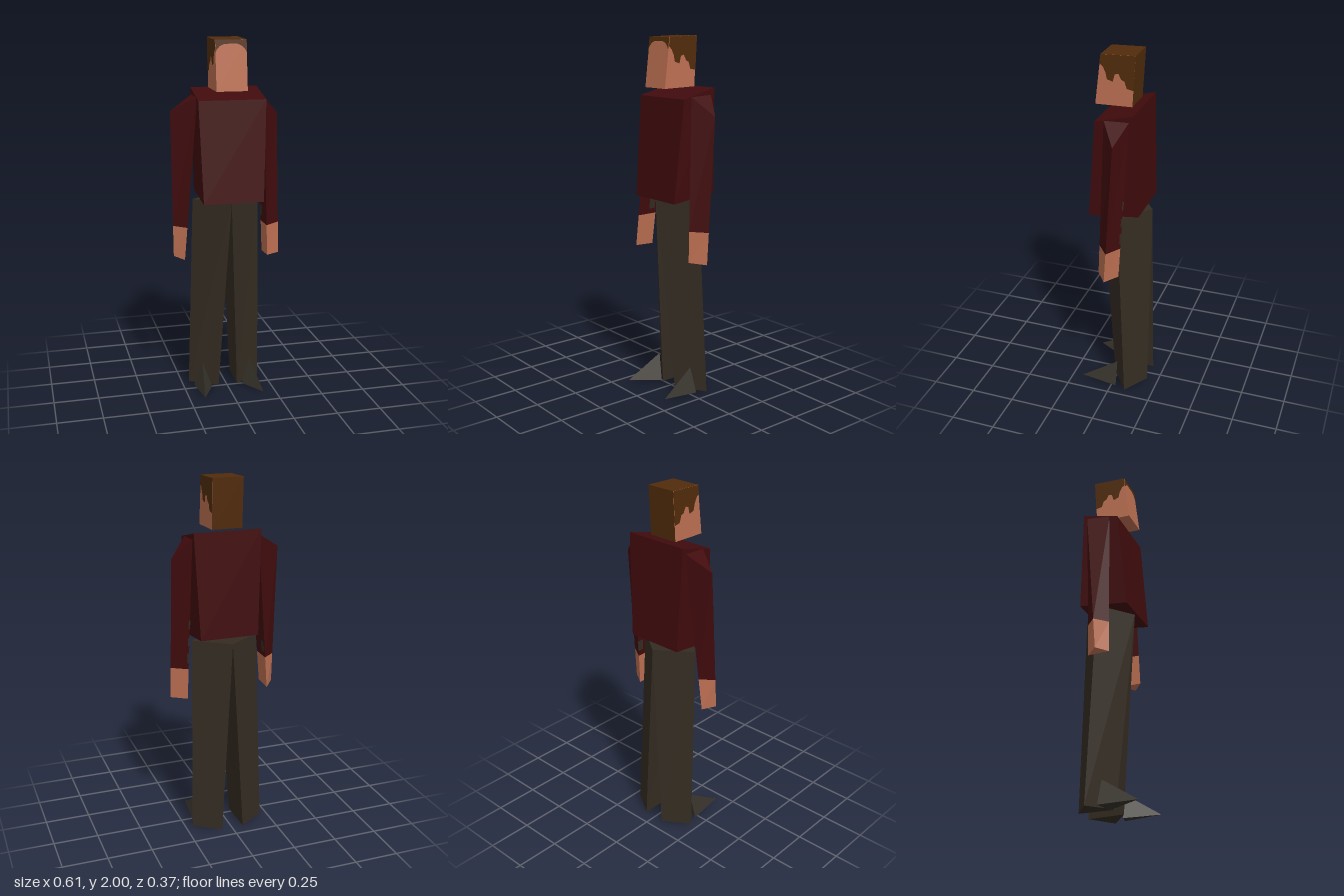
import * as THREE from 'three';
import { ConvexGeometry } from 'three/addons/geometries/ConvexGeometry.js';

const material = (name, color) => {
  const m = new THREE.MeshStandardMaterial({ color });
  m.name = name;
  return m;
};

// Joins two rings of [x, y, z] corners into a faceted solid: sides, then bottom, then top.
function loft(lower, upper) {
  const n = lower.length;
  let area = 0;
  lower.forEach((a, i) => {
    const b = lower[(i + 1) % n];
    area += a[2] * b[0] - a[0] * b[2];
  });
  if (area < 0) {
    lower = [...lower].reverse();
    upper = [...upper].reverse();
  }
  const out = [];
  const tri = (...corners) => corners.forEach((c) => out.push(...c));
  for (let i = 0; i < n; i++) {
    const j = (i + 1) % n;
    tri(lower[i], lower[j], upper[j]);
    tri(lower[i], upper[j], upper[i]);
  }
  for (let i = 1; i < n - 1; i++) tri(lower[0], lower[i + 1], lower[i]);
  for (let i = 1; i < n - 1; i++) tri(upper[0], upper[i], upper[i + 1]);
  const g = new THREE.BufferGeometry();
  g.setAttribute('position', new THREE.Float32BufferAttribute(out, 3));
  g.computeVertexNormals();
  return g;
}

const lerp = (a, b, t) => a.map((v, k) => v + (b[k] - v) * t);

// Ring at one side of the body: the x of each corner is multiplied by s.
const flip = (ring, s) => ring.map(([x, y, z]) => [x * s, y, z]);

// Ring where the edges between two rings cross height y.
const cut = (low, high, y) =>
  low.map((a, i) => lerp(a, high[i], (y - a[1]) / (high[i][1] - a[1])));

const hull = (points) => new ConvexGeometry(points.map((c) => new THREE.Vector3(...c)));

const flatShape = (points) =>
  new THREE.ShapeGeometry(new THREE.Shape(points.map(([x, y]) => new THREE.Vector2(x, y))));

export function createModel() {
  const model = new THREE.Group();
  model.name = 'man';
  const shirt = material('dark red shirt', 0x410b0d);
  const skin = material('skin', 0xbd7052);
  const trousers = material('grey brown trousers', 0x342c22);
  const hair = material('brown hair', 0x522c0b);
  const shoes = material('dark shoes', 0x36322a);
  const add = (name, geometry, mat) => {
    const mesh = new THREE.Mesh(geometry, mat);
    mesh.name = name;
    model.add(mesh);
  };

  // Head: wedge with hair on the back and the top
  const head = loft(
    [[0.086, 1.725, 0.112], [0.086, 1.73, -0.09], [-0.084, 1.73, -0.09], [-0.084, 1.725, 0.112]],
    [[0.086, 1.993, 0.08], [0.086, 2, -0.106], [-0.084, 2, -0.106], [-0.084, 1.993, 0.08]],
  );
  [0, 1, 0, 0, 0, 1].forEach((m, i) => head.addGroup(i * 6, 6, m));
  add('head', head, [skin, hair]);

  // Hairline across the forehead, leaning with the face
  const fringe = flatShape([
    [-0.084, 1.993], [-0.084, 1.925], [-0.077, 1.942], [-0.06, 1.96], [-0.035, 1.971],
    [0.035, 1.971], [0.06, 1.96], [0.077, 1.942], [0.086, 1.925], [0.086, 1.993],
  ]);
  const p = fringe.attributes.position;
  for (let i = 0; i < p.count; i++) {
    p.setZ(i, 0.082 + (1.993 - p.getY(i)) * 0.119);
  }
  fringe.computeVertexNormals();
  add('fringe', fringe, hair);

  // Hair on each side of the head, as [z, y]
  const sideHair = [
    [0.08, 1.993], [0.086, 1.945], [0.068, 1.93], [0.054, 1.9], [0.046, 1.865], [0.015, 1.855],
    [0.004, 1.895], [-0.016, 1.9], [-0.03, 1.87], [-0.048, 1.862], [-0.06, 1.825],
    [-0.096, 1.818], [-0.106, 2],
  ];
  for (const s of [1, -1]) {
    const g = flatShape(sideHair.map(([z, y]) => [-s * z, y]));
    g.rotateY(s * Math.PI / 2).translate(s * 0.087 + 0.001, 0, 0);
    add(s > 0 ? 'leftSideHair' : 'rightSideHair', g, hair);
  }

  // Torso with sloping shoulders
  add('torso', loft(
    [[0.178, 1.12, 0.123], [0.173, 1.15, -0.157], [-0.155, 1.15, -0.157], [-0.158, 1.12, 0.123]],
    [[0.2, 1.675, 0.075], [0.2, 1.728, -0.134], [-0.175, 1.728, -0.134], [-0.175, 1.675, 0.075]],
  ), shirt);

  // Arms: three-sided sleeves (outer, back and front edge) with bare hands.
  // Each patch is [bottom, top, places along the inner face], negative places lying on the outer face.
  const arm = (side, s, low, high, cuffY, patches) => {
    const cuff = cut(low, high, cuffY);
    add(side + 'Sleeve', loft(flip(cuff, s), flip(high, s)), shirt);
    add(side + 'Hand', loft(flip(low, s), flip(cuff, s)), skin);
    for (const [bottom, top, places] of patches) {
      const points = [bottom, top].flatMap((y) => {
        const [outer, back, front] = cut(low, high, y);
        const middle = lerp(lerp(outer, back, 0.5), front, 1 / 3);
        const spots = places.map((t) => lerp(back, t < 0 ? outer : front, Math.abs(t)));
        return [middle, ...spots.map((spot) => lerp(middle, spot, 1.04))];
      });
      add(side + 'SleevePatch', hull(flip(points, s)), trousers);
    }
  };
  arm('left', 1,
    [[0.303, 0.79, -0.004], [0.22, 0.79, -0.06], [0.22, 0.795, 0.056]],
    [[0.299, 1.585, -0.055], [0.2, 1.69, -0.11], [0.2, 1.685, 0.025]], 0.967,
    [[1.0, 1.06, [-0.1, 0, 0.3]], [1.1, 1.15, [-0.08, 0, 0.2]], [1.2, 1.25, [-0.06, 0, 0.2]]]);
  arm('right', -1,
    [[0.305, 0.81, 0], [0.253, 0.795, -0.06], [0.253, 0.8, 0.058]],
    [[0.304, 1.61, -0.055], [0.17, 1.695, -0.11], [0.17, 1.69, 0.024]], 0.98,
    [[1.01, 1.07, [0.1, 0.4]]]);

  // Legs: three-sided, with a wedge-shaped pointed shoe on each
  for (const s of [1, -1]) {
    const side = s > 0 ? 'left' : 'right';
    add(side + 'Leg', loft(
      flip([[0.055, 0.01, 0.018], [0.21, 0.005, -0.09], [0.063, 0.005, -0.186]], s),
      flip([[0, 1.12, 0.11], [0.187, 1.12, -0.042], [0, 1.12, -0.181]], s),
    ), trousers);
    const shoe = [[0.17, 0.02, 0.183], [0.142, 0.148, -0.025], [0.09, 0, 0], [0.19, 0.008, -0.03]];
    add(side + 'Shoe', hull(flip(shoe, s)), shoes);
  }
  return model;
}
